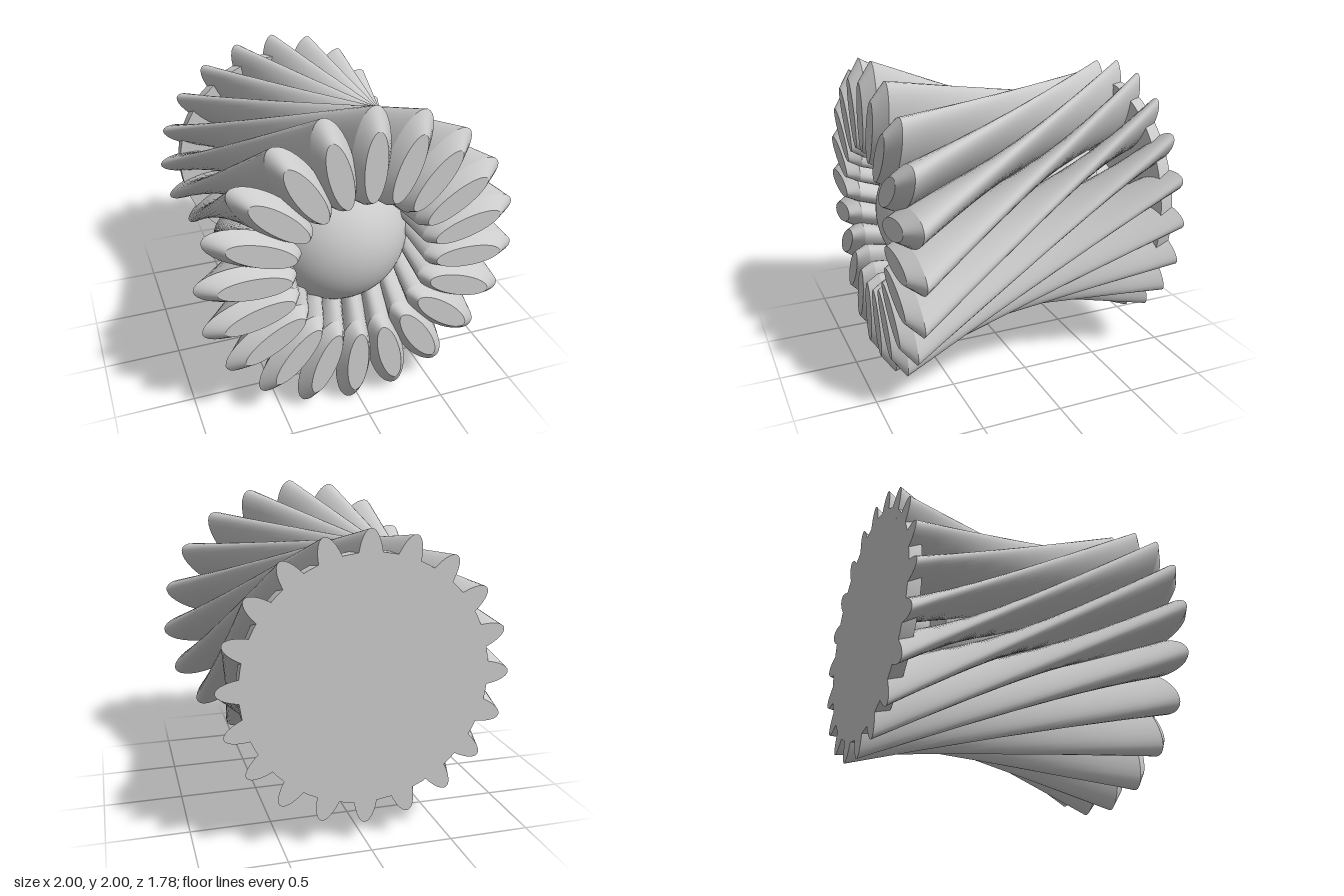
import * as THREE from 'three';

const BLADES = 20, SIDES = 32, STEPS = 10;
const material = new THREE.MeshStandardMaterial({ color: 0xcccccc });

// Elliptical blade section: long axis radial, turned by `angle` about z
function section(z, centre, long, wide, angle) {
  const c = Math.cos(angle), s = Math.sin(angle), points = [];
  for (let i = 0; i < SIDES; i++) {
    const t = (i / SIDES) * Math.PI * 2;
    const r = centre + long * Math.cos(t), w = wide * Math.sin(t);
    points.push(new THREE.Vector3(r * c - w * s, r * s + w * c, z));
  }
  return points;
}

function build(points, index) {
  const geometry = new THREE.BufferGeometry().setFromPoints(points);
  geometry.setIndex(index);
  geometry.computeVertexNormals();
  return geometry;
}

// Ruled skin from a front section to a back section
function skin(front, back, steps) {
  const points = [], index = [];
  for (let k = 0; k <= steps; k++) {
    front.forEach((p, i) => points.push(p.clone().lerp(back[i], k / steps)));
  }
  for (let k = 0; k < steps; k++) {
    for (let i = 0; i < SIDES; i++) {
      const a = k * SIDES + i, d = k * SIDES + (i + 1) % SIDES;
      const b = a + SIDES, c = d + SIDES;
      index.push(a, b, c, a, c, d);
    }
  }
  return build(points, index);
}

function cap(points, facesBack) {
  const index = [];
  for (let i = 1; i < SIDES - 1; i++) {
    index.push(0, facesBack ? i + 1 : i, facesBack ? i : i + 1);
  }
  return build(points, index);
}

export function createModel() {
  const model = new THREE.Group();
  model.name = 'twistedBladeRotor';
  const rotor = new THREE.Group();
  rotor.name = 'rotor';
  rotor.position.y = 1;
  model.add(rotor);

  const add = (parent, name, geometry) => {
    const mesh = new THREE.Mesh(geometry, material);
    mesh.name = name;
    parent.add(mesh);
    return mesh;
  };

  // Slanted blades, each with a bevelled front end
  const start = THREE.MathUtils.degToRad(-3), twist = THREE.MathUtils.degToRad(75.5);
  const tip = section(0.89, 0.665, 0.215, 0.068, 0);
  const shoulder = section(0.81, 0.70, 0.30, 0.115, 0);
  const tail = section(-0.89, 0.66, 0.21, 0.075, twist);
  const parts = {
    bladeFrontFace: cap(tip, false),
    bladeBevel: skin(tip, shoulder, 1),
    bladeBody: skin(shoulder, tail, STEPS),
    bladeBackFace: cap(tail, true),
  };
  for (let i = 0; i < BLADES; i++) {
    const blade = new THREE.Group();
    blade.name = 'blade' + (i + 1);
    blade.rotation.z = start + (i / BLADES) * Math.PI * 2;
    for (const [name, geometry] of Object.entries(parts)) add(blade, name, geometry);
    rotor.add(blade);
  }

  // Parts lying along the z axis
  const cylinder = (name, radius, back, front) => {
    const mesh = add(rotor, name, new THREE.CylinderGeometry(radius, radius, front - back, 64));
    mesh.rotation.x = Math.PI / 2;
    mesh.position.z = (front + back) / 2;
  };
  cylinder('backDisc', 0.74, -0.89, -0.81);
  cylinder('shaft', 0.18, -0.82, -0.53);
  cylinder('hub', 0.46, -0.54, 0.34);

  // Rounded nose of the hub
  const nose = add(rotor, 'hubNose',
    new THREE.SphereGeometry(0.46, 64, 24, 0, Math.PI * 2, 0, Math.PI / 2));
  nose.rotation.x = Math.PI / 2;
  nose.position.z = 0.34;

  return model;
}
